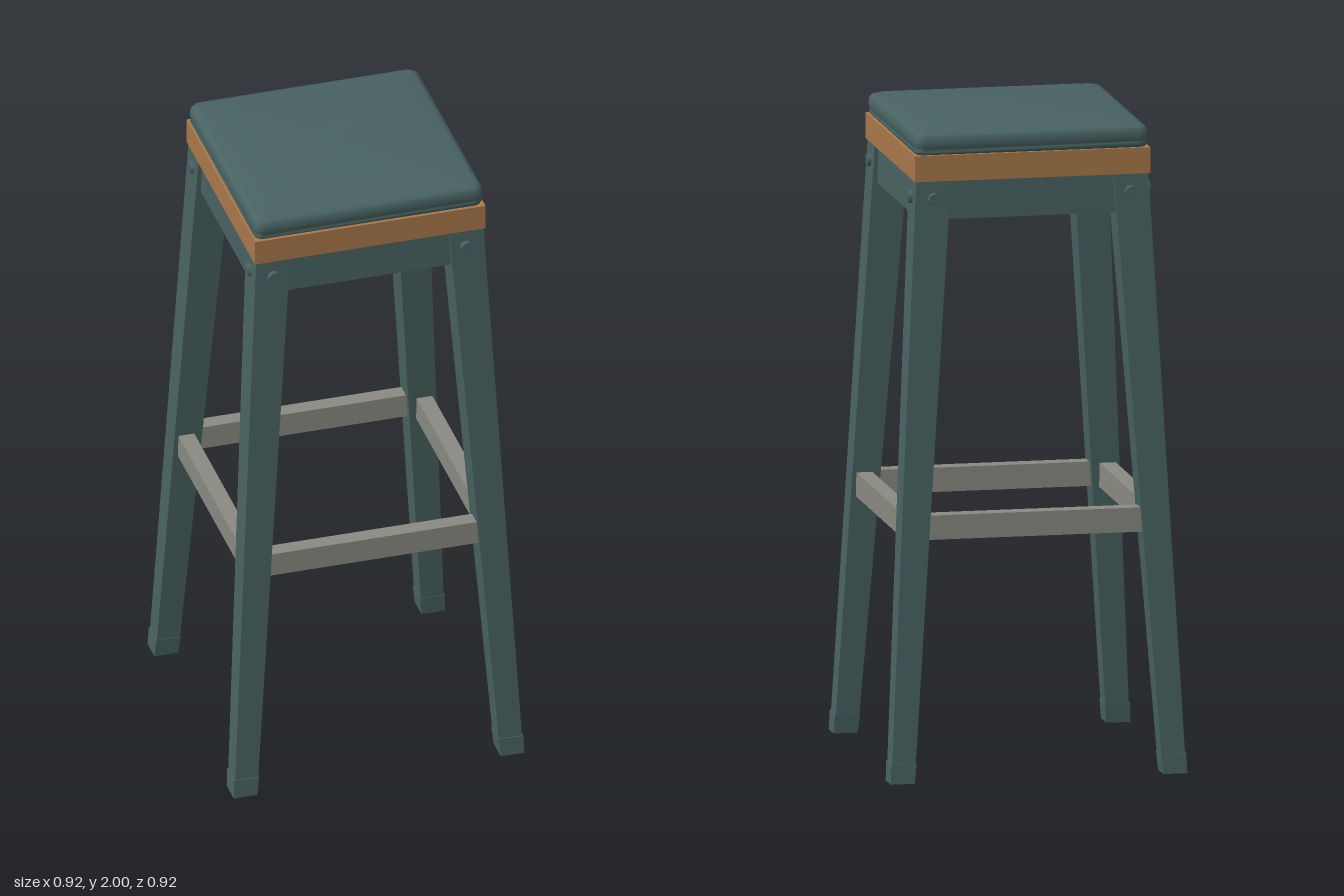
import * as THREE from 'three';

export function createModel() {
  const stool = new THREE.Group();
  stool.name = 'barStool';
  const mat = (name, color, extra = {}) => {
    const m = new THREE.MeshStandardMaterial({ color, ...extra });
    m.name = name;
    return m;
  };
  const teal = mat('tealPaint', 0x486362);
  const wood = mat('wood', 0xa8784a);
  const grey = mat('greyMetal', 0x8a8a82);

  const add = (name, geometry, material, parent = stool) => {
    const m = new THREE.Mesh(geometry, material);
    m.name = name;
    parent.add(m);
    return m;
  };
  const box = (name, material, parent, w, h, d, x, y, z) =>
    add(name, new THREE.BoxGeometry(w, h, d), material, parent).position.set(x, y, z);

  // Square bar in the +x +z corner; each end spans inner..outer on both axes
  const cornerBar = (y0, in0, out0, y1, in1, out1) => {
    const g = new THREE.BoxGeometry(1, 1, 1);
    const p = g.attributes.position;
    for (let i = 0; i < p.count; i++) {
      const top = p.getY(i) > 0;
      const a = top ? in1 : in0, b = top ? out1 : out0;
      p.setXYZ(i, p.getX(i) > 0 ? b : a, top ? y1 : y0, p.getZ(i) > 0 ? b : a);
    }
    g.computeVertexNormals();
    return g;
  };

  // Rounded square cushion lofted through rings of [half width, height, corner radius]
  const cushion = (rings, steps = 6) => {
    const pos = [], idx = [], n = 4 * (steps + 1);
    for (const [half, y, r] of rings) {
      for (let c = 0; c < 4; c++) {
        for (let s = 0; s <= steps; s++) {
          const a = (c + s / steps) * Math.PI / 2;
          const sx = c === 0 || c === 3 ? 1 : -1, sz = c < 2 ? 1 : -1;
          pos.push(sx * (half - r) + r * Math.cos(a), y, sz * (half - r) + r * Math.sin(a));
        }
      }
    }
    for (let k = 0; k < rings.length - 1; k++) {
      for (let i = 0; i < n; i++) {
        const a = k * n + i, b = k * n + (i + 1) % n;
        idx.push(a, a + n, b, b, a + n, b + n);
      }
    }
    const g = new THREE.BufferGeometry();
    g.setAttribute('position', new THREE.Float32BufferAttribute(pos, 3));
    g.setIndex(idx);
    g.computeVertexNormals();
    return g;
  };

  // Seat: padded cushion with a seam groove, wooden band, underside panel
  add('cushion', cushion([
    [0.345, 1.915, 0.02], [0.357, 1.922, 0.025], [0.362, 1.93, 0.03], [0.357, 1.936, 0.025],
    [0.361, 1.942, 0.03], [0.363, 1.955, 0.03], [0.361, 1.972, 0.03], [0.354, 1.982, 0.03],
    [0.338, 1.988, 0.03], [0.25, 1.995, 0.03], [0.12, 1.999, 0.02], [0.001, 2, 0.0005],
  ]), teal);
  box('woodBand', wood, stool, 0.73, 0.08, 0.73, 0, 1.88, 0);
  box('seatUnderside', teal, stool, 0.66, 0.008, 0.66, 0, 1.837, 0);

  // Four sides: apron, footrest rail, and one leg with its foot and two bolts
  const legGeo = cornerBar(0.058, 0.381, 0.454, 1.84, 0.252, 0.36);
  const footGeo = cornerBar(0, 0.385, 0.46, 0.06, 0.379, 0.457);
  const boltGeo = new THREE.CylinderGeometry(0.018, 0.021, 0.016, 8).rotateX(Math.PI / 2);
  for (let i = 0; i < 4; i++) {
    const side = new THREE.Group();
    side.name = 'side' + (i + 1);
    side.rotation.y = i * Math.PI / 2;
    stool.add(side);
    box('apron', teal, side, 0.58, 0.12, 0.03, 0, 1.78, 0.335);
    box('apronLining', wood, side, 0.54, 0.006, 0.012, 0, 1.723, 0.315);
    box('footrestRail', grey, side, 0.72, 0.075, 0.05, 0, 0.778, 0.377);
    add('leg', legGeo, teal, side);
    add('foot', footGeo, teal, side);
    for (const s of [-1, 1]) {
      add('bolt', boltGeo, teal, side).position.set(s * 0.305, 1.785, 0.367);
    }
  }
  return stool;
}
